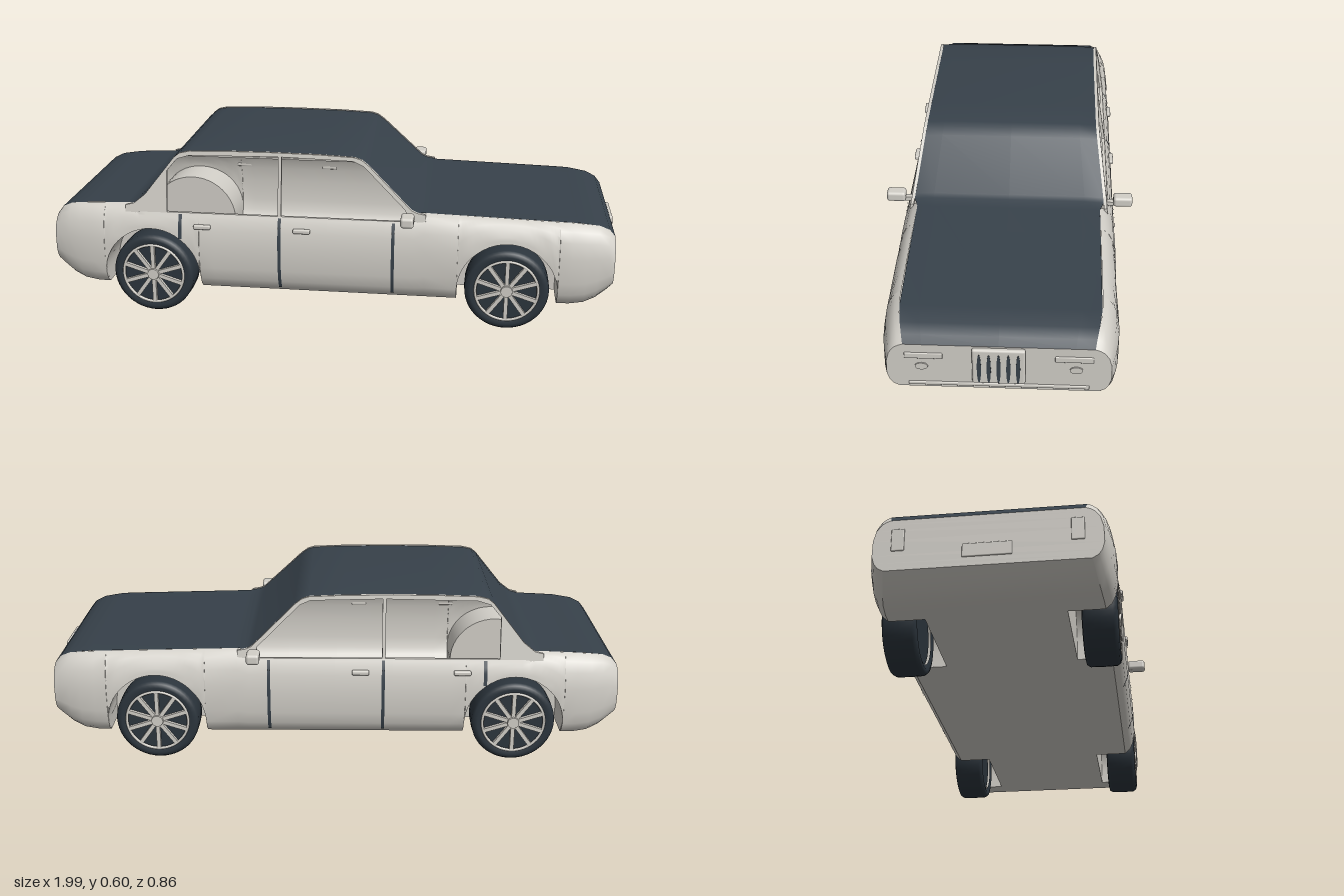
import * as THREE from 'three';
import { toCreasedNormals } from 'three/addons/utils/BufferGeometryUtils.js';
import { RoundedBoxGeometry } from 'three/addons/geometries/RoundedBoxGeometry.js';

const material = (name, color, side = THREE.FrontSide) =>
  Object.assign(new THREE.MeshStandardMaterial({ color, side }), { name });
const paint = material('bodyPaint', 0xd2cfc8, THREE.DoubleSide);
const dark = material('darkGlassAndTop', 0x37414a, THREE.DoubleSide);
const rubber = material('tyreRubber', 0x2c353d);

const END = 0.985, WHEEL_X = 0.625, WHEEL_Y = 0.146, ARCH = 0.172, WELL_Z = 0.22;

// Piecewise linear lookup
function lerpTable(table, v) {
  if (v <= table[0][0]) return table[0][1];
  for (let i = 1; i < table.length; i++) {
    const [a, p] = table[i - 1], [b, q] = table[i];
    if (v <= b) return p + (q - p) * (v - a) / (b - a);
  }
  return table[table.length - 1][1];
}

// Lower body: bottom and top heights along x, and half width by height
const bottomY = x => lerpTable([[0.86, 0.097], [0.91, 0.108], [0.95, 0.135], [END, 0.167]], Math.abs(x));
const topY = x => lerpTable([[-END, 0.34], [-0.965, 0.365], [-0.93, 0.381], [-0.86, 0.39], [-0.7, 0.397],
  [0.34, 0.402], [0.86, 0.388], [0.93, 0.378], [0.965, 0.362], [END, 0.338]], x);
const section = [[0, 0.335], [0.06, 0.355], [0.15, 0.367], [0.3, 0.375], [0.6, 0.374], [0.8, 0.364],
  [0.92, 0.347], [0.97, 0.333], [1, 0.317]];
const taper = x => 1 - 0.075 * Math.max(0, (Math.abs(x) - 0.8) / 0.185) ** 2;
const sideZ = (x, y) => taper(x) * lerpTable(section, (y - bottomY(x)) / (topY(x) - bottomY(x)));
const cabinZ = y => 0.347 - (y - 0.37) * 0.165;

// Surface through rows of equally many points
function sheet(rows, crease = 0.6) {
  const n = rows[0].length, index = [];
  for (let r = 0; r < rows.length - 1; r++) {
    for (let c = 0; c < n - 1; c++) {
      const a = r * n + c, b = a + n;
      index.push(a, b, a + 1, b, b + 1, a + 1);
    }
  }
  const g = new THREE.BufferGeometry();
  g.setAttribute('position', new THREE.Float32BufferAttribute(rows.flat(2), 3));
  g.setIndex(index);
  g.computeVertexNormals();
  return toCreasedNormals(g, crease);
}

function add(parent, name, geometry, mat, x = 0, y = 0, z = 0) {
  const mesh = new THREE.Mesh(geometry, mat);
  mesh.name = name;
  mesh.position.set(x, y, z);
  parent.add(mesh);
  return mesh;
}

// Stations along the car; those inside a wheel arch carry the arch height
function stations() {
  const list = [-END, -0.965, -0.93, -0.89, -0.84, -0.7, -0.66, -0.4, -0.2, 0, 0.2, 0.3, 0.34, 0.84, 0.89, 0.93, 0.965, END]
    .filter(x => Math.abs(Math.abs(x) - WHEEL_X) > ARCH).map(x => ({ x, low: bottomY(x), arch: false }));
  for (const wx of [-WHEEL_X, WHEEL_X]) {
    for (const e of [-1, 1]) list.push({ x: wx + e * (ARCH + 0.0005), low: bottomY(wx), arch: false });
    for (let i = 0; i <= 24; i++) {
      const a = Math.PI * i / 24;
      list.push({ x: wx - ARCH * Math.cos(a), low: WHEEL_Y + ARCH * Math.sin(a), arch: true });
    }
  }
  return list.sort((p, q) => p.x - q.x);
}

// One body side column from sill or arch up to the deck or belt line
function column({ x, low }, s) {
  const b = bottomY(x), t = topY(x), limit = x > -0.68 && x < 0.32 ? 0.92 : 1;
  const from = (low - b) / (t - b);
  return section.map(([f]) => {
    const y = b + (t - b) * (from + (limit - from) * f);
    return [x, y, s * sideZ(x, y)];
  });
}

function addBody(car) {
  const cols = stations();
  for (const s of [-1, 1]) {
    add(car, 'bodySide', sheet(cols.map(c => column(c, s))), paint);
    // Wheel wells: curved liner and inner wall
    for (const wx of [-WHEEL_X, WHEEL_X]) {
      const arch = cols.filter(c => c.arch && Math.abs(c.x - wx) < 0.3);
      const rim = [{ x: arch[0].x, low: 0.097 }, ...arch, { x: arch[arch.length - 1].x, low: 0.097 }];
      add(car, 'wheelWell', sheet(rim.map(({ x, low }) =>
        [[x, low, s * sideZ(x, low)], [x, low, s * WELL_Z]])), paint);
      add(car, 'wellWall', sheet(arch.map(({ x, low }) =>
        [[x, 0.097, s * WELL_Z], [x, low, s * WELL_Z]])), paint);
    }
  }
  // Underside narrows between the wheel wells
  add(car, 'underside', sheet(cols.map(({ x, arch }) => {
    const y = bottomY(x), z = arch ? WELL_Z : sideZ(x, y);
    return [[x, y, -z], [x, y, z]];
  })), paint);
  for (const x of [-END, END]) {
    const edge = column({ x, low: bottomY(x) }, 1);
    add(car, x > 0 ? 'nosePanel' : 'tailPanel', sheet(edge.map(([, y, z]) => [[x, y, -z], [x, y, z]])), paint);
  }
}

function addTop(car) {
  // Continuous dark skin: boot, rear screen, roof, windscreen and bonnet
  const cabin = [[-0.69, 0.4], [-0.65, 0.432], [-0.545, 0.565], [-0.525, 0.581], [-0.49, 0.589], [-0.35, 0.593],
    [-0.2, 0.594], [-0.03, 0.592], [0.09, 0.587], [0.115, 0.579], [0.14, 0.56], [0.29, 0.414], [0.31, 0.405]];
  const ends = [END, 0.965, 0.93, 0.86];
  const profile = [...ends.map(x => [-x, topY(-x)]), [-0.72, topY(-0.72)], ...cabin,
    [0.35, topY(0.35)], ...ends.slice().reverse().map(x => [x, topY(x)])];
  const deck = profile.map(([x, y]) => {
    const inCabin = x > -0.7 && x < 0.32;
    const h = inCabin ? cabinZ(y) - 0.011 : 0.317 * taper(x);
    return [-1, -0.8, 0, 0.8, 1].map(f => [x, y + (Math.abs(f) < 1 && inCabin ? 0.004 : 0), f * h]);
  });
  add(car, 'darkTop', sheet(deck), dark);

  // Leaning cabin frames with open windows
  const V = pts => pts.map(([x, y]) => new THREE.Vector2(x, y));
  const frame = new THREE.Shape(V([[-0.72, 0.368], [-0.72, 0.395], ...cabin.map(([x, y]) => [x, y + 0.002]),
    [0.34, 0.402], [0.34, 0.368]]));
  frame.holes.push(
    new THREE.Path(V([[-0.57, 0.376], [-0.57, 0.52], [-0.533, 0.563], [-0.49, 0.576], [-0.175, 0.582], [-0.175, 0.376]])),
    new THREE.Path(V([[-0.163, 0.376], [-0.163, 0.582], [0.085, 0.576], [0.122, 0.56], [0.27, 0.415], [0.275, 0.376]])));
  for (const s of [-1, 1]) {
    const g = new THREE.ExtrudeGeometry(frame, { depth: 0.011, bevelEnabled: false });
    const p = g.attributes.position;
    for (let i = 0; i < p.count; i++) p.setZ(i, s * (cabinZ(p.getY(i)) - p.getZ(i)));
    g.computeVertexNormals();
    add(car, 'cabinFrame', g, paint);
  }
}

function addSideDetails(car) {
  for (const s of [-1, 1]) {
    // Door gaps following the body curve
    for (const [x, y0, w] of [[-0.52, 0.287, 0.012], [-0.167, 0.115, 0.011], [0.23, 0.115, 0.011]]) {
      const rows = Array.from({ length: 9 }, (_, i) => {
        const y = y0 + (0.372 - y0) * i / 8, z = s * (sideZ(x, y) + 0.003);
        return [[x - w / 2, y, z], [x + w / 2, y, z]];
      });
      add(car, 'doorGap', sheet(rows), dark);
    }
    for (const x of [-0.44, -0.088]) {
      add(car, 'doorHandle', new RoundedBoxGeometry(0.06, 0.016, 0.016, 2, 0.005), paint, x, 0.333, s * 0.37);
    }
    add(car, 'mirror', new RoundedBoxGeometry(0.045, 0.036, 0.066, 3, 0.01), paint, 0.28, 0.4, s * 0.398);
    add(car, 'mirrorStalk', new THREE.BoxGeometry(0.02, 0.014, 0.05), paint, 0.28, 0.388, s * 0.355);
  }
}

function addEndDetails(car) {
  const plate = (name, x, y, z, h, w, d = 0.008) =>
    add(car, name, new RoundedBoxGeometry(d, h, w, 2, Math.min(d, h, w) * 0.4), paint, x, y, z);
  plate('grilleSurround', 0.99, 0.265, 0, 0.136, 0.164, 0.018);
  for (let i = -2; i <= 2; i++) {
    const slot = add(car, 'grilleSlot', new THREE.CylinderGeometry(0.0065, 0.0065, 0.004, 16), dark, 0.999, 0.26, i * 0.03);
    slot.rotation.z = Math.PI / 2;
    slot.scale.x = 8.8;
  }
  plate('frontBumperStrip', END, 0.182, 0, 0.013, 0.56);
  plate('rearPlate', -END, 0.22, 0, 0.045, 0.15);
  for (const s of [-1, 1]) {
    plate('headlight', END, 0.295, s * 0.231, 0.022, 0.118);
    const lamp = add(car, 'foglight', new THREE.CylinderGeometry(0.02, 0.02, 0.008, 24), paint, END, 0.253, s * 0.238);
    lamp.rotation.z = Math.PI / 2;
    lamp.scale.x = 0.65;
    plate('tailLight', -END, 0.27, s * 0.27, 0.075, 0.04);
  }
}

// Wheel facing +z, centred on its own axle
function makeWheel() {
  const wheel = new THREE.Group();
  wheel.name = 'wheel';
  const tyre = [[0.108, -0.05], [0.125, -0.056], [0.138, -0.053], [0.145, -0.042], [0.146, 0],
    [0.145, 0.042], [0.138, 0.053], [0.125, 0.057], [0.108, 0.052]].map(([r, y]) => new THREE.Vector2(r, y));
  add(wheel, 'tyre', new THREE.LatheGeometry(tyre, 48), rubber).rotation.x = Math.PI / 2;
  add(wheel, 'wheelBacking', new THREE.CylinderGeometry(0.11, 0.11, 0.084, 40), rubber).rotation.x = Math.PI / 2;
  add(wheel, 'rim', new THREE.TorusGeometry(0.108, 0.005, 8, 48), paint, 0, 0, 0.053);
  add(wheel, 'hub', new THREE.CylinderGeometry(0.02, 0.024, 0.02, 24), paint, 0, 0, 0.053).rotation.x = Math.PI / 2;
  for (let i = 0; i < 10; i++) {
    const a = i * Math.PI / 5 + Math.PI / 2;
    const spoke = add(wheel, 'spoke', new THREE.BoxGeometry(0.09, 0.014, 0.012), paint,
      0.062 * Math.cos(a), 0.062 * Math.sin(a), 0.051);
    spoke.rotation.z = a;
  }
  return wheel;
}

export function createModel() {
  const car = new THREE.Group();
  car.name = 'saloonCar';
  addBody(car);
  addTop(car);
  addSideDetails(car);
  addEndDetails(car);
  for (const x of [-WHEEL_X, WHEEL_X]) {
    for (const s of [-1, 1]) {
      const wheel = makeWheel();
      wheel.position.set(x, WHEEL_Y, s * 0.313);
      if (s < 0) wheel.rotation.y = Math.PI;
      car.add(wheel);
    }
  }
  return car;
}
